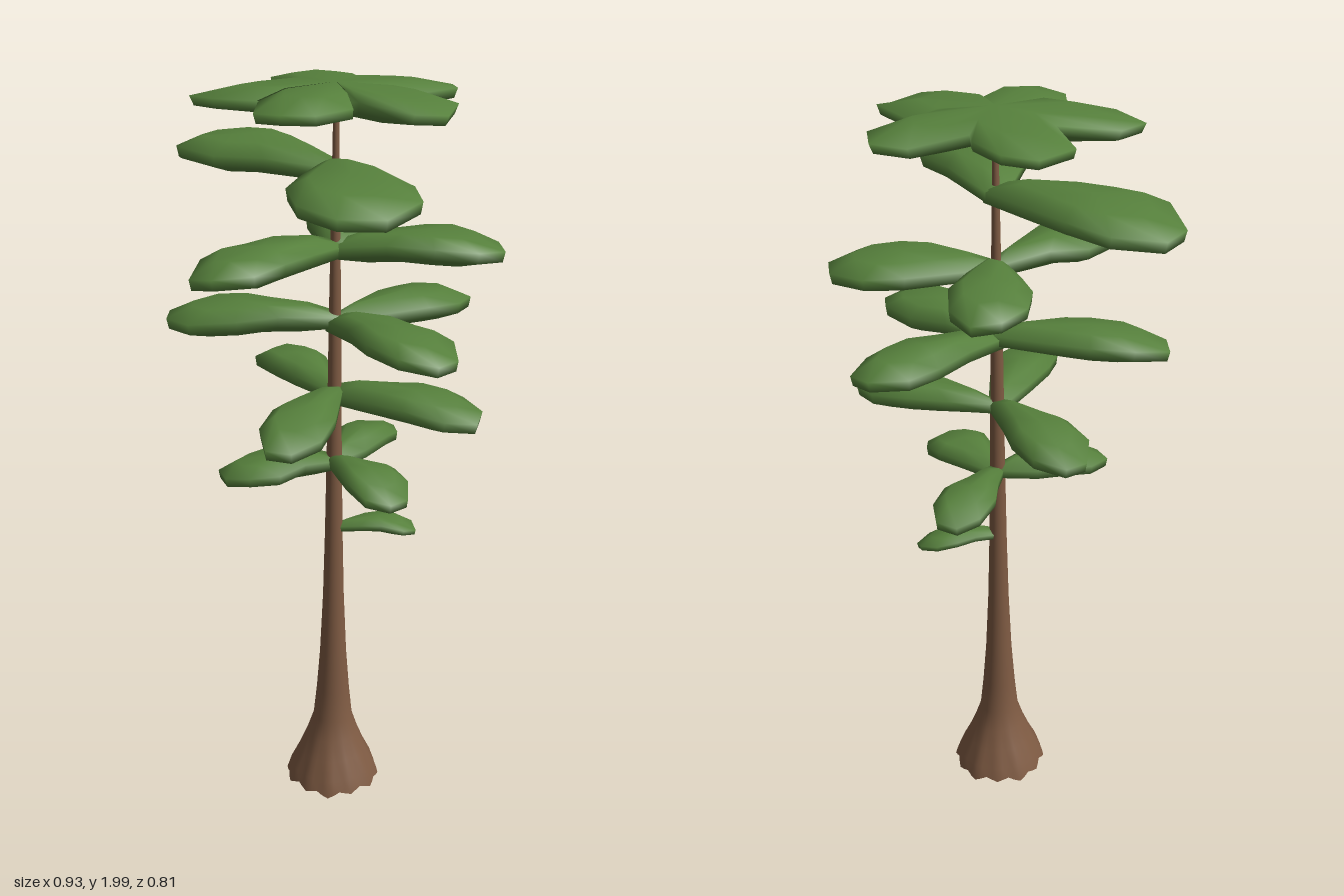
import * as THREE from 'three';
import { mergeVertices } from 'three/addons/utils/BufferGeometryUtils.js';

const bark = new THREE.MeshStandardMaterial({ color: 0x7f5b43 });
bark.name = 'bark brown';
const leaf = new THREE.MeshStandardMaterial({ color: 0x56803c });
leaf.name = 'leaf green';

// small seeded random, -1..1
let seed = 7;
const rnd = () => {
  seed = (seed * 16807) % 2147483647;
  return (seed / 2147483647) * 2 - 1;
};

// trunk axis leans very slightly
const axisX = y => 0.066 - 0.006 * y;
const axisZ = y => -0.008 * y;

// smooth, seamless normals
function smooth(geo) {
  geo.deleteAttribute('uv');
  geo.deleteAttribute('normal');
  const merged = mergeVertices(geo, 1e-5);
  merged.computeVertexNormals();
  return merged;
}

// lathed trunk piece, fluted into roots near the ground
function trunkPiece(profile) {
  const geo = new THREE.LatheGeometry(profile.map(p => new THREE.Vector2(p[0], p[1])), 48);
  const pos = geo.attributes.position;
  for (let i = 0; i < pos.count; i++) {
    const x = pos.getX(i), y = pos.getY(i), z = pos.getZ(i);
    const a = Math.atan2(z, x);
    const k = Math.max(0, 1 - y / 0.17);
    const wave = Math.cos(12 * a) + 0.5 * Math.cos(5 * a + 1);
    const s = 1 + 0.03 * k * wave;
    const drop = Math.hypot(x, z) > 0.1 && y < 0.03 ? 0.006 * wave : 0;
    pos.setXYZ(i, x * s + axisX(y), Math.max(0, y - drop), z * s + axisZ(y));
  }
  return smooth(geo);
}

// pad rings from top to bottom: scale, height
const RINGS = [[0, 1], [0.65, 0.9], [1, 0.3], [0.97, -0.4], [0.6, -0.9], [0, -0.95]];

// closed cushion over a rim of [x, z] points, shrinking towards a centre
function cushion(rim, cx, cz, y, thick, arch) {
  const n = rim.length, verts = [], index = [];
  const wobble = rim.map(() => 0.008 * rnd());
  RINGS.forEach(([s, h], r) => rim.forEach(([rx, rz], i) => {
    const x = cx + (rx - cx) * s, z = cz + (rz - cz) * s;
    verts.push(x, y + h * thick + wobble[i] * s + arch(x, z), z);
    if (r === 0) return;
    const j = (i + 1) % n, A = (r - 1) * n, B = r * n;
    if (r > 1) index.push(A + i, B + j, A + j);
    if (r < RINGS.length - 1) index.push(A + i, B + i, B + j);
  }));
  const geo = new THREE.BufferGeometry();
  geo.setAttribute('position', new THREE.Float32BufferAttribute(verts, 3));
  geo.setIndex(index);
  return new THREE.Mesh(smooth(geo), leaf);
}

// pad outline: distance along the pad, share of the half width
const OUTLINE = [
  [-0.05, 0.2], [0.3, 0.68], [0.56, 1], [0.82, 0.93], [1, 0.4],
  [0.98, -0.35], [0.8, -0.95], [0.55, -0.95], [0.3, -0.65], [-0.05, -0.2],
];

// one foliage pad reaching from the trunk to a tip
function foliagePad(y, tipX, tipZ, halfWidth, thick) {
  const cx = axisX(y), cz = axisZ(y);
  const len = Math.hypot(tipX - cx, tipZ - cz);
  const dx = (tipX - cx) / len, dz = (tipZ - cz) / len;
  const rim = OUTLINE.map(([u, v]) => {
    const along = len * u * (1 + (u > 0.1 && u < 0.9 ? 0.03 * rnd() : 0));
    const side = halfWidth * v * (1 + 0.05 * rnd());
    return [cx + dx * along - dz * side, cz + dz * along + dx * side];
  });
  const arch = (x, z) => {
    const t = Math.max(0, ((x - cx) * dx + (z - cz) * dz) / len);
    return 0.014 * Math.sin(Math.PI * t) - 0.012 * t * t;
  };
  return cushion(rim, cx + dx * len * 0.55, cz + dz * len * 0.55, y, thick, arch);
}

// five-lobed outline of the crown
const CROWN = [
  [0.38, 0], [0.36, -0.075], [0.225, -0.13], [0.195, -0.115],
  [0.24, -0.27], [0.185, -0.335], [0.09, -0.32], [0.01, -0.19],
  [-0.02, -0.225], [-0.12, -0.26], [-0.21, -0.245], [-0.235, -0.13], [-0.12, -0.025],
  [-0.24, 0.07], [-0.255, 0.165], [-0.15, 0.205], [-0.03, 0.185], [-0.03, 0.135],
  [-0.022, 0.19], [0.035, 0.28], [0.12, 0.29], [0.185, 0.245], [0.185, 0.1],
  [0.155, 0.075], [0.19, 0.085], [0.345, 0.09],
];

// tiers: height, thickness, pads as [tip x, tip z, half width]
const TIERS = [
  { name: 'tierSix', y: 1.787, thick: 0.042, pads: [[-0.465, -0.055, 0.14], [0.395, 0.355, 0.15]] },
  { name: 'tierFive', y: 1.59, thick: 0.04, pads: [
    [0.4, -0.255, 0.115], [-0.035, 0.405, 0.1], [-0.125, -0.33, 0.1]] },
  { name: 'tierFour', y: 1.395, thick: 0.04, pads: [
    [0.2, -0.405, 0.09], [0.465, 0.09, 0.1], [-0.335, 0.195, 0.1]] },
  { name: 'tierThree', y: 1.2, thick: 0.038, pads: [
    [0.455, -0.09, 0.085], [0.17, 0.375, 0.085], [-0.285, -0.175, 0.085]] },
  { name: 'tierTwo', y: 1.002, thick: 0.034, pads: [
    [0.02, -0.31, 0.075], [-0.13, 0.235, 0.08], [0.33, 0.08, 0.08]] },
  { name: 'lowestTier', y: 0.806, thick: 0.02, pads: [[0.22, -0.165, 0.05]] },
];

export function createModel() {
  const tree = new THREE.Group();
  tree.name = 'tree';

  // tapering trunk with flared foot
  const trunk = new THREE.Mesh(trunkPiece([
    [0.13, 0.015], [0.118, 0.05], [0.095, 0.1], [0.073, 0.155], [0.055, 0.21],
    [0.046, 0.3], [0.037, 0.42], [0.029, 0.6], [0.024, 0.8], [0.02, 1.05],
    [0.016, 1.4], [0.011, 1.7], [0.007, 1.95], [0, 1.965]]), bark);
  trunk.name = 'trunk';

  // underside of the foot
  const foot = new THREE.Mesh(trunkPiece([[0, 0.015], [0.095, 0.015], [0.13, 0.015]]), bark);
  foot.name = 'rootUnderside';
  tree.add(trunk, foot);

  // lobed crown on top, drooping a little at the rim
  const cx = axisX(2), cz = axisZ(2);
  const crown = cushion(CROWN, cx, cz, 1.963, 0.035,
    (x, z) => -0.1 * ((x - cx) ** 2 + (z - cz) ** 2));
  crown.name = 'crownTop';
  tree.add(crown);

  // foliage tiers below
  for (const { name, y, thick, pads } of TIERS) {
    const tier = new THREE.Group();
    tier.name = name;
    pads.forEach(([x, z, w], i) => {
      const pad = foliagePad(y, x, z, w, thick);
      pad.name = `foliagePad${i + 1}`;
      tier.add(pad);
    });
    tree.add(tier);
  }
  return tree;
}
